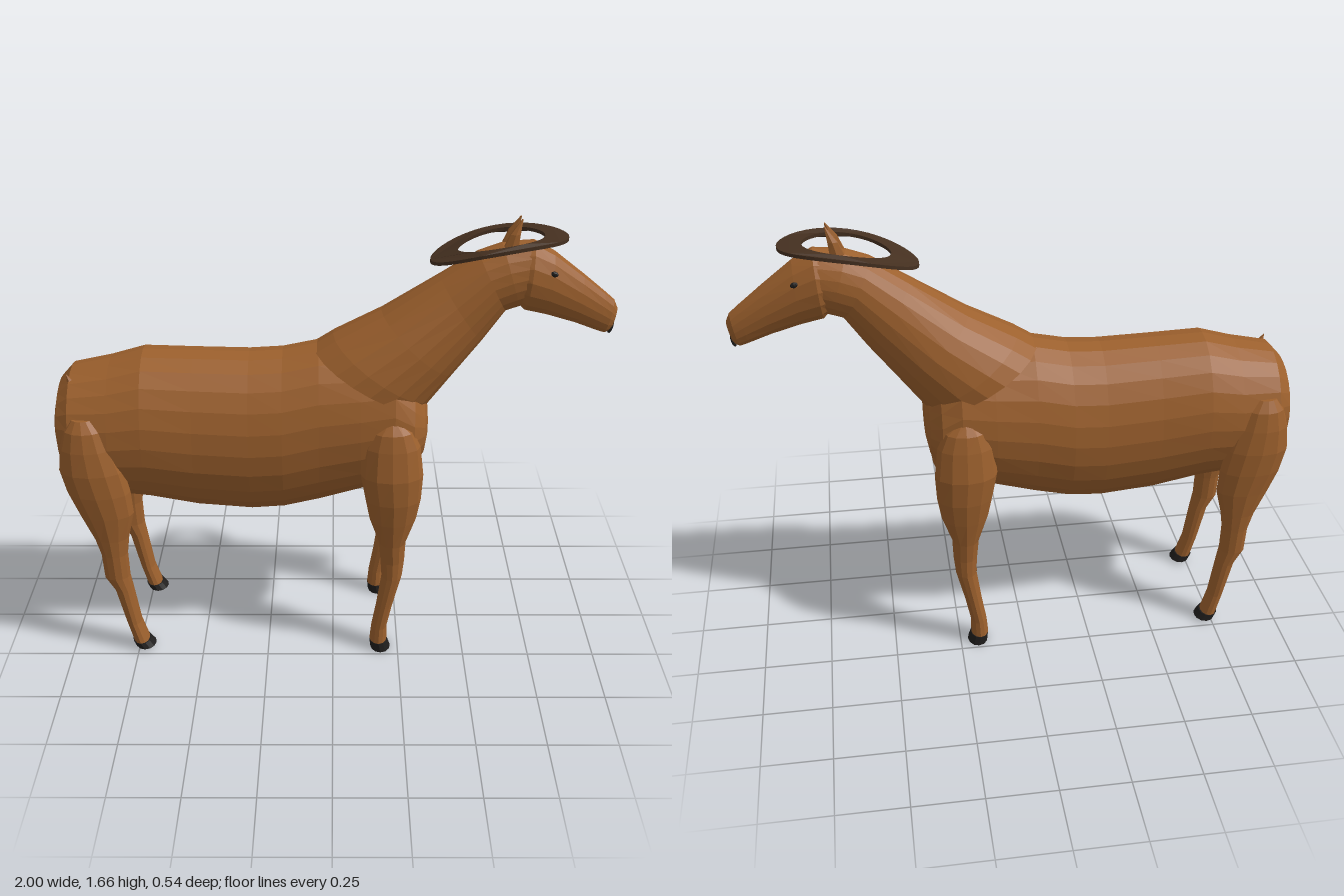
import * as THREE from 'three';

const coat = new THREE.MeshStandardMaterial({ color: 0x9c602d });
const hornBrown = new THREE.MeshStandardMaterial({ color: 0x453020 });
const black = new THREE.MeshStandardMaterial({ color: 0x1f1d1c });

// Skin elliptical sections [ax, ay, bx, by, halfWidth, zCentre]; a and b are opposite ends of one axis
function loft(sections, sides = 16) {
  const pos = [], idx = [];
  for (const [ax, ay, bx, by, w, zc = 0] of sections) {
    for (let i = 0; i < sides; i++) {
      const t = (i / sides) * Math.PI * 2, s = Math.sin(t);
      pos.push((ax + bx) / 2 + (ax - bx) / 2 * s, (ay + by) / 2 + (ay - by) / 2 * s, zc + w * Math.cos(t));
    }
  }
  const last = sections.length - 1;
  for (let r = 0; r < last; r++) {
    for (let i = 0; i < sides; i++) {
      const a = r * sides + i, b = r * sides + (i + 1) % sides;
      idx.push(a, b, a + sides, b, b + sides, a + sides);
    }
  }
  for (let i = 1; i < sides - 1; i++) {
    idx.push(0, i + 1, i, last * sides, last * sides + i, last * sides + i + 1);
  }
  // Turn the faces outward if the enclosed volume is negative
  let volume = 0;
  const v = k => new THREE.Vector3().fromArray(pos, idx[k] * 3);
  for (let k = 0; k < idx.length; k += 3) volume += v(k).dot(v(k + 1).cross(v(k + 2)));
  if (volume < 0) idx.reverse();
  const g = new THREE.BufferGeometry();
  g.setAttribute('position', new THREE.Float32BufferAttribute(pos, 3));
  g.setIndex(idx);
  return facet(g);
}

// Flat facets
function facet(g) {
  const f = g.index ? g.toNonIndexed() : g;
  f.computeVertexNormals();
  return f;
}

export function createModel() {
  const model = new THREE.Group();
  const add = (name, geometry, material, parent = model) => {
    const mesh = new THREE.Mesh(geometry, material);
    mesh.name = name;
    parent.add(mesh);
    return mesh;
  };

  // Barrel of the body: x, top, bottom, half width
  const barrel = [
    [-1.0, 1.0, 0.8, 0.12], [-0.985, 1.06, 0.72, 0.17], [-0.94, 1.11, 0.66, 0.2],
    [-0.8, 1.14, 0.605, 0.215], [-0.68, 1.175, 0.59, 0.22], [-0.5, 1.17, 0.552, 0.218],
    [-0.3, 1.165, 0.535, 0.222], [-0.18, 1.172, 0.545, 0.225], [-0.05, 1.2, 0.575, 0.22],
    [0.1, 1.2, 0.622, 0.22], [0.22, 1.2, 0.665, 0.215], [0.29, 1.11, 0.7, 0.2],
    [0.33, 1.02, 0.78, 0.15], [0.342, 0.98, 0.84, 0.1],
  ];
  add('body', loft(barrel.map(([x, t, b, w]) => [x, t, x, b, w]), 24), coat);

  add('neck', loft([
    [-0.07, 1.19, 0.33, 0.96, 0.2], [0.0, 1.235, 0.355, 0.99, 0.195], [0.17, 1.325, 0.43, 1.09, 0.165],
    [0.37, 1.455, 0.53, 1.22, 0.12], [0.5, 1.54, 0.605, 1.33, 0.1], [0.58, 1.57, 0.65, 1.345, 0.095],
    [0.67, 1.58, 0.69, 1.36, 0.085],
  ], 20), coat);

  add('head', loft([
    [0.62, 1.57, 0.655, 1.345, 0.08], [0.69, 1.583, 0.668, 1.33, 0.092], [0.76, 1.545, 0.745, 1.312, 0.078],
    [0.87, 1.46, 0.85, 1.28, 0.056], [0.95, 1.395, 0.93, 1.25, 0.04], [0.985, 1.365, 0.96, 1.24, 0.033],
    [0.999, 1.335, 0.98, 1.25, 0.022],
  ]), coat);

  // Dark muzzle tip
  const mouth = add('mouth', facet(new THREE.SphereGeometry(1, 10, 6)), black);
  mouth.scale.set(0.008, 0.025, 0.02);
  mouth.position.set(0.983, 1.262, 0);
  mouth.rotation.z = -0.25;

  // Curved horns meeting in a thin bowed ring
  const ring = new THREE.Shape().absellipse(0, 0, 0.235, 0.143, 0, Math.PI * 2);
  ring.holes.push(new THREE.Path().absellipse(0.005, 0, 0.148, 0.103, 0, Math.PI * 2));
  const horns = new THREE.ExtrudeGeometry(ring, { depth: 0.012, bevelEnabled: false, curveSegments: 20 });
  horns.rotateX(-Math.PI / 2).translate(0.57, 0, 0);
  const p = horns.attributes.position;
  for (let i = 0; i < p.count; i++) {
    const d = p.getX(i) - 0.57;
    p.setY(i, p.getY(i) + 1.576 + 0.185 * d - 0.595 * d * d);
  }
  add('horns', facet(horns), hornBrown);

  // Tail stub
  const tail = add('tail', facet(new THREE.ConeGeometry(0.035, 0.09, 5)), coat);
  tail.position.set(-0.93, 1.07, 0.08);
  tail.rotation.z = 0.4;

  // Leg outlines: y, back x, front x, inner z, outer z
  const frontOutline = [
    [0.975, 0.18, 0.24, 0.16, 0.21], [0.94, 0.135, 0.285, 0.14, 0.235], [0.88, 0.11, 0.312, 0.13, 0.25],
    [0.77, 0.1, 0.325, 0.128, 0.27], [0.67, 0.118, 0.32, 0.125, 0.268], [0.58, 0.135, 0.305, 0.125, 0.257],
    [0.48, 0.17, 0.27, 0.135, 0.243], [0.4, 0.178, 0.267, 0.143, 0.235], [0.33, 0.183, 0.26, 0.148, 0.235],
    [0.2, 0.165, 0.228, 0.15, 0.233], [0.1, 0.148, 0.208, 0.15, 0.232], [0.035, 0.142, 0.208, 0.148, 0.235],
  ];
  const hindOutline = [
    [0.98, -0.925, -0.85, 0.15, 0.2], [0.94, -0.955, -0.81, 0.13, 0.225], [0.87, -0.975, -0.783, 0.12, 0.24],
    [0.78, -0.985, -0.752, 0.12, 0.25], [0.69, -0.965, -0.735, 0.122, 0.25], [0.6, -0.93, -0.73, 0.125, 0.245],
    [0.5, -0.885, -0.755, 0.135, 0.238], [0.43, -0.865, -0.765, 0.142, 0.235], [0.33, -0.86, -0.763, 0.147, 0.233],
    [0.27, -0.825, -0.755, 0.15, 0.23], [0.12, -0.792, -0.735, 0.15, 0.23], [0.035, -0.77, -0.71, 0.15, 0.235],
  ];
  const hoofs = {
    front: [[0.036, 0.142, 0.21, 0.147, 0.237], [0.0, 0.145, 0.222, 0.143, 0.241]],
    hind: [[0.036, -0.775, -0.705, 0.148, 0.237], [0.012, -0.765, -0.687, 0.145, 0.24]],
  };
  const limb = (rows, s) => loft(rows.map(([y, x0, x1, z0, z1]) =>
    [x1, y, x0, y, (z1 - z0) / 2, s * (z0 + z1) / 2]), 12);

  // Paired parts on both flanks
  for (const s of [1, -1]) {
    const side = s > 0 ? 'Near' : 'Far';
    add('frontLeg' + side, limb(frontOutline, s), coat);
    add('frontHoof' + side, limb(hoofs.front, s), black);
    add('hindLeg' + side, limb(hindOutline, s), coat);
    add('hindHoof' + side, limb(hoofs.hind, s), black);

    const eye = add('eye' + side, facet(new THREE.SphereGeometry(1, 8, 6)), black);
    eye.scale.set(0.014, 0.01, 0.008);
    eye.position.set(0.755, 1.482, s * 0.069);
    eye.rotation.z = -0.3;

    const ear = add('ear' + side, loft([
      [0.58, 1.565, 0.635, 1.565, 0.016, s * 0.026], [0.6, 1.61, 0.638, 1.61, 0.013, s * 0.026],
      [0.638, 1.66, 0.643, 1.66, 0.003, s * 0.019],
    ], 6), coat);
    ear.castShadow = false;
  }
  return model;
}
